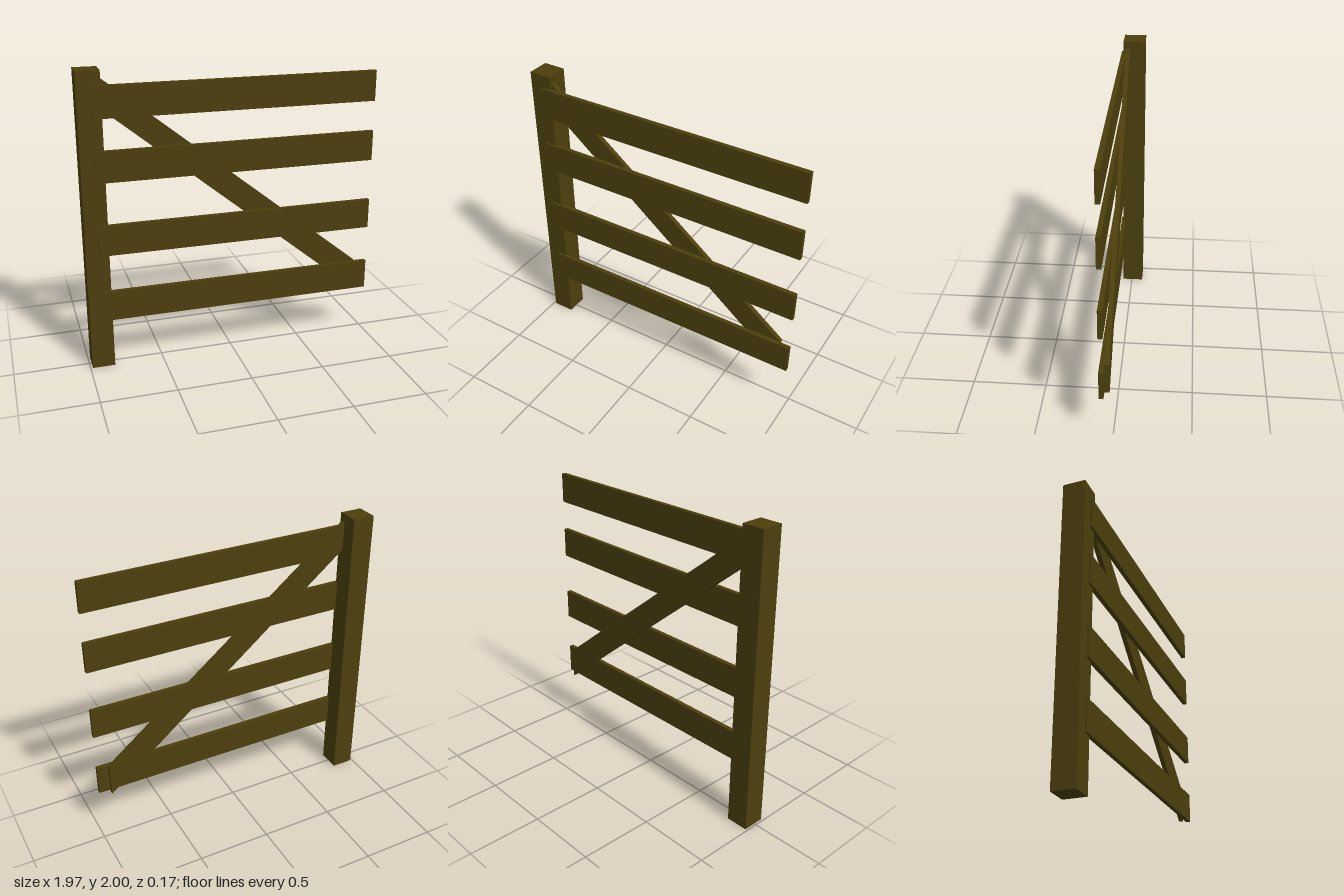
import * as THREE from 'three';

export function createModel() {
  const group = new THREE.Group();
  const wood = new THREE.MeshStandardMaterial({ color: 0x4c3f0d, flatShading: true });

  const add = (name, geometry) => {
    const mesh = new THREE.Mesh(geometry, wood);
    mesh.name = name;
    group.add(mesh);
    return mesh;
  };

  // Box given by its lower and upper corners
  const addBox = (name, [x0, y0, z0], [x1, y1, z1]) =>
    add(name, new THREE.BoxGeometry(x1 - x0, y1 - y0, z1 - z0))
      .position.set((x0 + x1) / 2, (y0 + y1) / 2, (z0 + z1) / 2);

  // Square hinge post
  addBox('post', [-0.985, 0, -0.083], [-0.834, 2, 0.068]);

  // Four horizontal rails, let slightly into the post's front
  [0.345, 0.805, 1.295, 1.705].forEach((y, i) =>
    addBox(`rail${i + 1}`, [-0.9, y, 0.053], [0.985, y + 0.205, 0.083]));

  // Diagonal brace behind the rails, with ends cut upright
  const brace = new THREE.Shape([
    [-0.836, 1.757], [0.908, 0.332], [0.908, 0.55], [-0.836, 1.95],
  ].map(([x, y]) => new THREE.Vector2(x, y)));
  add('brace', new THREE.ExtrudeGeometry(brace, { depth: 0.031, bevelEnabled: false }))
    .position.z = 0.022;

  return group;
}
